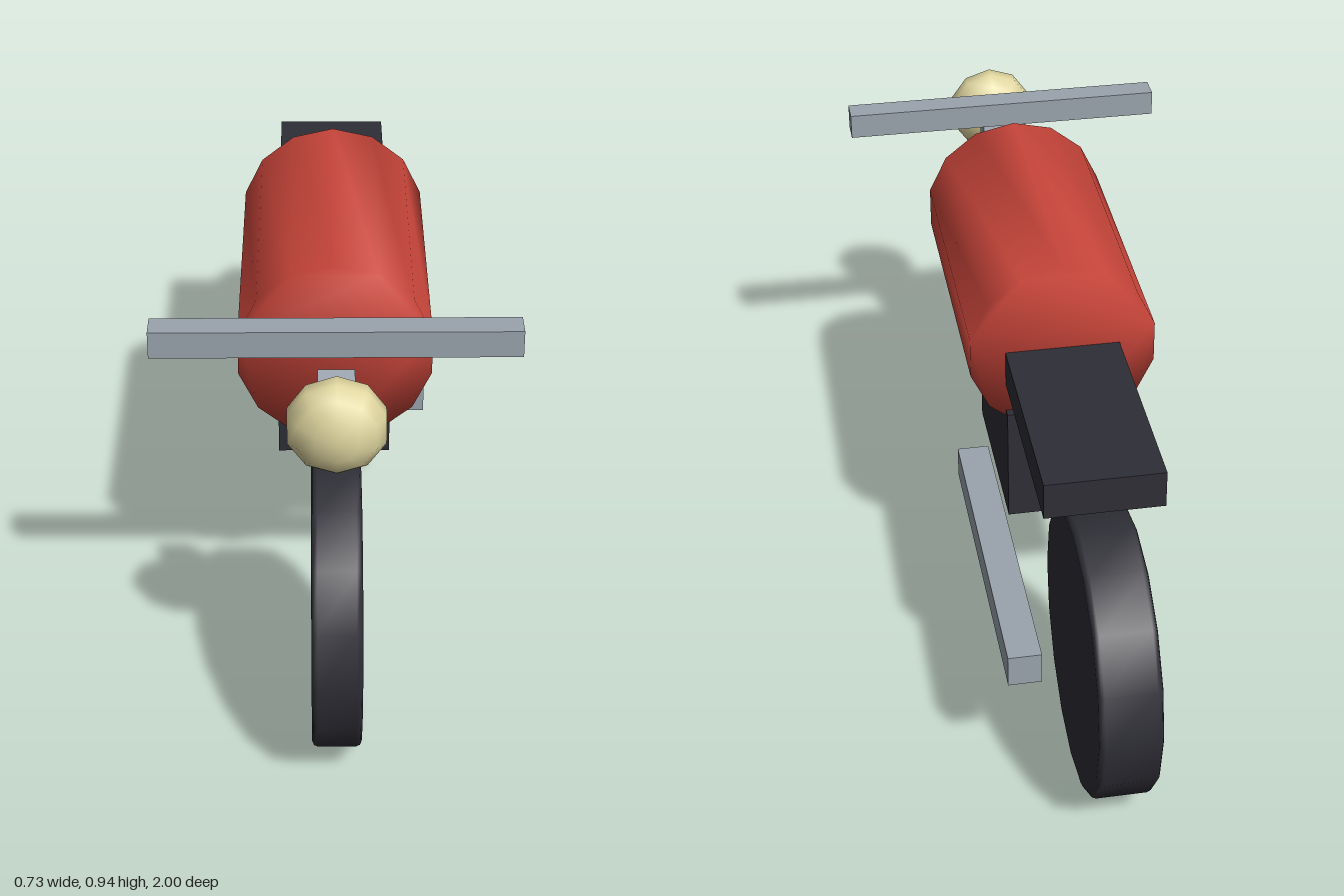
import * as THREE from 'three';
import { mergeVertices } from 'three/addons/utils/BufferGeometryUtils.js';

function material(name, color) {
  const m = new THREE.MeshStandardMaterial({ color });
  m.name = name;
  return m;
}

// Share corners so that normals blend smoothly over the edges
function smooth(geometry) {
  geometry.deleteAttribute('normal');
  geometry.deleteAttribute('uv');
  const merged = mergeVertices(geometry, 1e-4);
  merged.computeVertexNormals();
  return merged;
}

// Regular polygon prism along z, centred, with a corner at the top
function prism(sides, radius, length, bevel = 0) {
  const points = [];
  for (let i = 0; i < sides; i++) {
    const a = (i / sides) * Math.PI * 2;
    points.push(new THREE.Vector2(Math.sin(a) * radius, Math.cos(a) * radius));
  }
  const geometry = new THREE.ExtrudeGeometry(new THREE.Shape(points), {
    depth: length - 2 * bevel,
    bevelEnabled: bevel > 0,
    bevelThickness: bevel,
    bevelSize: bevel,
    bevelOffset: -bevel,
    bevelSegments: 2,
  });
  geometry.translate(0, 0, bevel - length / 2);
  return smooth(geometry);
}

export function createModel() {
  const group = new THREE.Group();
  group.name = 'motorcycle';

  const dark = material('dark rubber', 0x2e2e36);
  const red = material('red paint', 0xc8453a);
  const steel = material('grey steel', 0x9aa4ae);
  const cream = material('cream lamp', 0xe0d6a0);

  function add(name, geometry, mat, x, y, z) {
    const mesh = new THREE.Mesh(geometry, mat);
    mesh.name = name;
    mesh.position.set(x, y, z);
    group.add(mesh);
    return mesh;
  }

  // Box given by its lower and upper corners
  function box(name, mat, [x0, y0, z0], [x1, y1, z1]) {
    return add(name, new THREE.BoxGeometry(x1 - x0, y1 - y0, z1 - z0), mat,
      (x0 + x1) / 2, (y0 + y1) / 2, (z0 + z1) / 2);
  }

  // Wheels, the rear one wider
  for (const [name, width, z] of [['frontWheel', 0.1, 0.692], ['rearWheel', 0.13, -0.692]]) {
    add(name, prism(16, 0.308, width, 0.012), dark, 0, 0.308, z).rotation.y = Math.PI / 2;
  }

  // Body
  add('tank', prism(14, 0.205, 0.655), red, 0, 0.731, 0.112);
  box('engine', dark, [-0.124, 0.317, -0.235], [0.124, 0.588, 0.165]);
  box('seat', dark, [-0.124, 0.655, -0.69], [0.124, 0.737, -0.15]);
  box('exhaust', steel, [0.14, 0.295, -0.765], [0.21, 0.367, -0.038]);

  // Steering: the fork leans forward towards its top
  const fork = add('fork', new THREE.BoxGeometry(0.073, 0.4, 0.07).translate(0, -0.2, 0), steel, 0, 0.829, 0.714);
  fork.rotation.x = 0.31;
  box('handlebar', steel, [-0.365, 0.849, 0.595], [0.365, 0.906, 0.652]);

  // Flattened headlight facing forward
  const lamp = new THREE.SphereGeometry(0.1, 10, 7);
  lamp.rotateY(Math.PI).rotateX(Math.PI / 2).scale(1, 1, 0.7);
  // Turn about its axis so that a corner points up
  lamp.rotateZ(Math.PI / 10).scale(1.02, 1.02, 1);
  add('headlight', smooth(lamp), cream, 0, 0.79, 0.803);

  return group;
}
